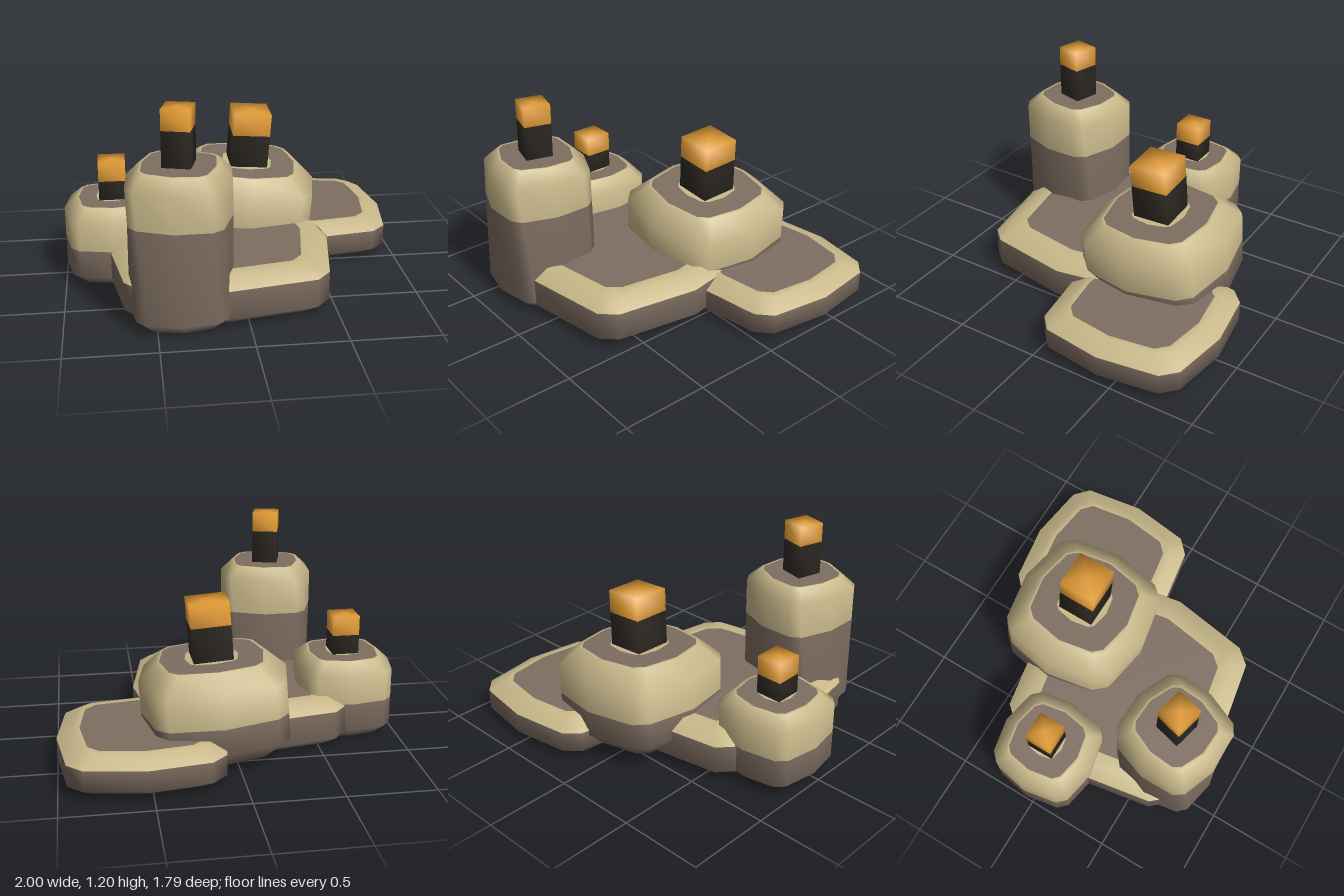
import * as THREE from 'three';

const mat = (name, color) => {
  const m = new THREE.MeshStandardMaterial({ color });
  m.name = name;
  return m;
};

// Stack of scaled outlines; bands[i] is the material index between ring i and ring i + 1.
// Each ring is [height, scale, twist].
function loft(outline, rings, bands) {
  const n = outline.length, pos = [], index = [];
  for (const [y, s, twist = 0] of rings) {
    const c = Math.cos(twist) * s, k = Math.sin(twist) * s;
    for (const [x, z] of outline) pos.push(x * c - z * k, y, x * k + z * c);
  }
  const geo = new THREE.BufferGeometry();
  bands.forEach((material, r) => {
    geo.addGroup(index.length, n * 6, material);
    for (let i = 0; i < n; i++) {
      const a = r * n + i, b = r * n + (i + 1) % n;
      index.push(a, a + n, b + n, a, b + n, b);
    }
  });
  geo.setAttribute('position', new THREE.Float32BufferAttribute(pos, 3));
  geo.setIndex(index);
  geo.computeVertexNormals();
  return geo;
}

// Bulging square with cut corners, going round from +x towards +z
function stoneOutline(hx, hz, cx, cz, ex, ez) {
  return [
    [hx, 0], [cx, cz], [ex, ez], [0, hz], [-ex, ez], [-cx, cz],
    [-hx, 0], [-cx, -cz], [-ex, -ez], [0, -hz], [ex, -ez], [cx, -cz],
  ];
}

export function createModel() {
  const model = new THREE.Group();
  const stoneMats = [mat('taupe', 0x7f6f62), mat('sand', 0xc8b88a)];
  const stemMats = [mat('charcoal', 0x302b25), mat('amber', 0xe09a35)];

  // Bevelled stone with a sand coloured shoulder and a taupe top
  function stone(parent, name, o) {
    const { h, split, bevel, top, inner, patch = 0, twist = 0 } = o;
    const rings = [
      [0, 0], [0, top], [bevel, 1], [split, 1], [h - bevel, 1],
      [h, top], [h, inner], [h, patch], [h, 0],
    ].map(([y, s]) => [y, s, twist * y / h]);
    const bands = [0, 0, 0, 1, 1, 1, 0, 1];
    const mesh = new THREE.Mesh(loft(o.outline, rings, bands), stoneMats);
    mesh.name = name;
    parent.add(mesh);
  }

  // Square dark stem with an amber tip
  function stem(parent, name, w, y0, split, y1, rot = 0) {
    const r = w / 2;
    const square = [[r, -r], [r, r], [-r, r], [-r, -r]];
    const geo = loft(square, [[y0, 0], [y0, 1], [split, 1], [y1, 1], [y1, 0]], [0, 0, 1, 1]);
    const mesh = new THREE.Mesh(geo, stemMats);
    mesh.name = name;
    mesh.rotation.y = rot;
    parent.add(mesh);
  }

  function group(name, x, y, z) {
    const g = new THREE.Group();
    g.name = name;
    g.position.set(x, y, z);
    model.add(g);
    return g;
  }

  // Flat slabs
  stone(group('mainSlab', -0.105, 0, 0.155), 'mainSlabStone', {
    outline: stoneOutline(0.645, 0.65, 0.565, 0.475, 0.485, 0.565),
    h: 0.28, split: 0.225, bevel: 0.06, top: 0.87, inner: 0.75,
  });
  stone(group('backSlab', 0.525, 0, -0.42), 'backSlabStone', {
    outline: stoneOutline(0.475, 0.48, 0.425, 0.35, 0.34, 0.43),
    h: 0.23, split: 0.175, bevel: 0.055, top: 0.81, inner: 0.73,
  });

  // Leaning wide block
  const wide = group('wideBlock', 0.08, 0.03, -0.31);
  wide.rotation.set(0.04, 0, -0.07);
  stone(wide, 'wideBlockStone', {
    outline: stoneOutline(0.425, 0.42, 0.37, 0.29, 0.3, 0.365),
    h: 0.535, split: 0.25, bevel: 0.1, top: 0.74, inner: 0.7, patch: 0.36,
  });
  stem(wide, 'wideBlockStem', 0.225, 0.4, 0.735, 0.87);

  // Small block
  const smallOutline = stoneOutline(0.285, 0.29, 0.25, 0.2, 0.2, 0.25);
  const small = group('smallBlock', -0.712, 0, -0.04);
  stone(small, 'smallBlockStone', {
    outline: smallOutline,
    h: 0.47, split: 0.23, bevel: 0.065, top: 0.75, inner: 0.7, patch: 0.34,
  });
  stem(small, 'smallBlockStem', 0.157, 0.4, 0.585, 0.7);

  // Tall twisted block
  const tall = group('tallBlock', -0.358, 0, 0.597);
  stone(tall, 'tallBlockStone', {
    outline: smallOutline,
    h: 0.88, split: 0.6, bevel: 0.07, top: 0.75, inner: 0.7, twist: 0.26,
  });
  stem(tall, 'tallBlockStem', 0.155, 0.8, 1.08, 1.195, -0.26);

  return model;
}
